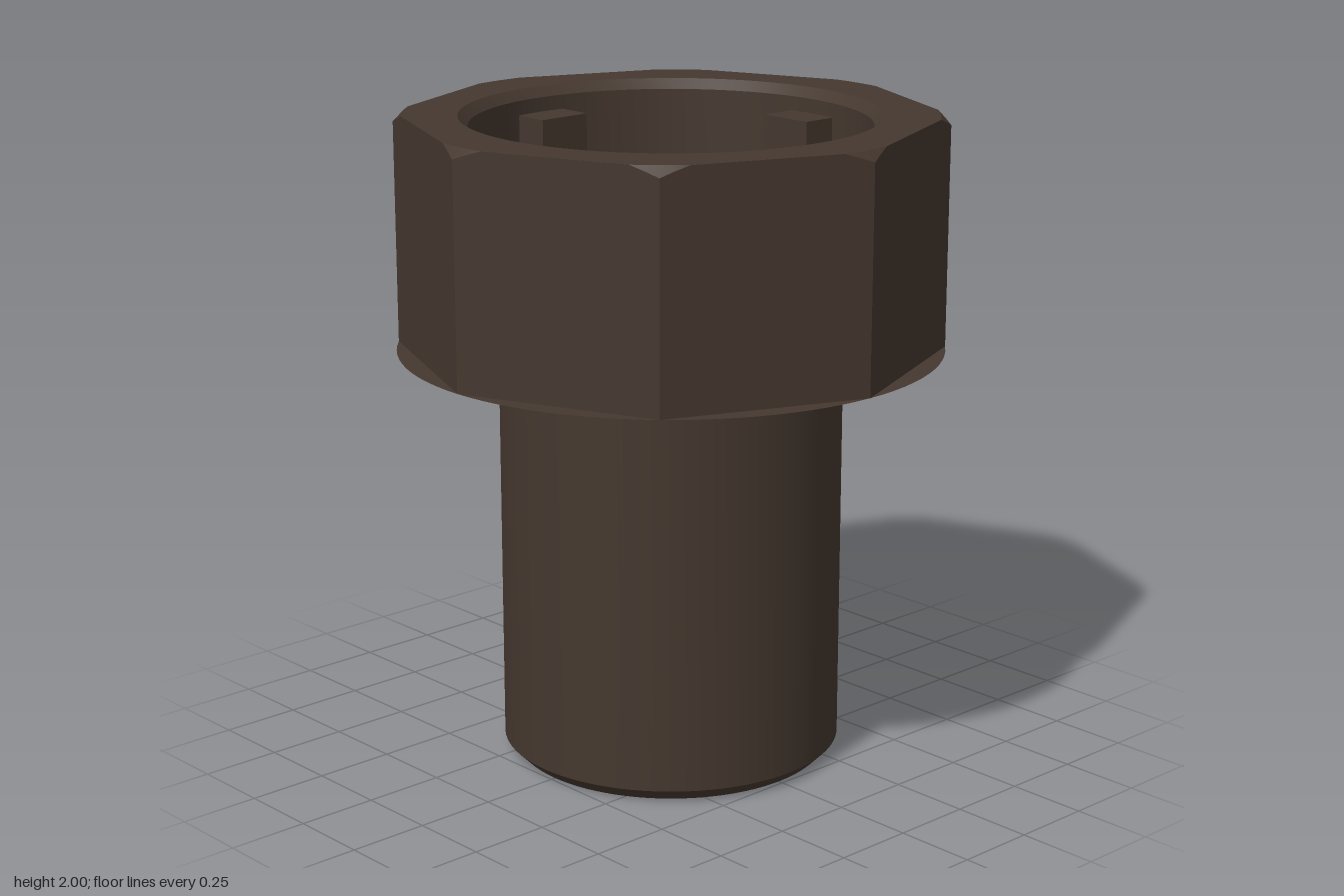
import * as THREE from 'three';
import { toCreasedNormals } from 'three/addons/utils/BufferGeometryUtils.js';

const CREASE = 0.5;
const RAD = Math.PI / 180;

export function createModel() {
  const group = new THREE.Group();
  const darkBrown = new THREE.MeshStandardMaterial({ color: 0x45382f, side: THREE.DoubleSide });
  darkBrown.name = 'dark brown';

  const add = (name, geometry) => {
    const mesh = new THREE.Mesh(geometry, darkBrown);
    mesh.name = name;
    group.add(mesh);
    return mesh;
  };
  const lathe = (points) => toCreasedNormals(
    new THREE.LatheGeometry(points.map(([r, y]) => new THREE.Vector2(r, y)), 96), CREASE);

  // Round shaft with chamfered foot, flared neck and thin round flange
  add('shaft', lathe([[0, 0], [0.485, 0], [0.525, 0.04], [0.525, 1.21], [0.6, 1.29]]));
  add('flange', lathe([[0.6, 1.29], [0.833, 1.29]]));

  // Socket in the head, chamfered at the lip and the floor
  add('socket', lathe([[0.635, 2], [0.605, 1.97], [0.605, 1.5], [0.56, 1.45], [0, 1.45]]));

  // Octagonal head: flat sides, softened corners, corner tips cut by a cone
  const apothem = 0.77, topRadius = 0.803;
  const columns = [];
  for (let k = 0; k < 8; k++) {
    for (const offset of [-6, -2.5, 0, 2.5, 6]) {
      const angle = (k * 45 + offset) * RAD;
      const r = apothem / Math.cos((22.5 - Math.abs(offset)) * RAD);
      const at = (radius, y) => [radius * Math.sin(angle), y, radius * Math.cos(angle)];
      const tr = Math.min(r, topRadius);
      columns.push([at(r, 1.29), at(r, 2 - (r - tr)), at(tr, 2)]);
    }
  }
  const positions = [];
  columns.forEach((a, i) => {
    const b = columns[(i + 1) % columns.length];
    for (let j = 0; j < 2; j++) {
      positions.push(...a[j], ...b[j], ...b[j + 1], ...a[j], ...b[j + 1], ...a[j + 1]);
    }
  });
  const wall = new THREE.BufferGeometry();
  wall.setAttribute('position', new THREE.Float32BufferAttribute(positions, 3));
  add('headSides', toCreasedNormals(wall, CREASE));

  // Flat top rim around the socket
  const rim = new THREE.Shape(columns.map((c) => new THREE.Vector2(c[2][0], -c[2][2])).reverse());
  rim.holes.push(new THREE.Path().absarc(0, 0, 0.635, 0, Math.PI * 2));
  add('headTop', new THREE.ShapeGeometry(rim, 48).rotateX(-Math.PI / 2).translate(0, 2, 0));

  // Four drive keys standing on the socket floor against its wall
  for (let k = 0; k < 4; k++) {
    const key = add('key' + (k + 1),
      new THREE.BoxGeometry(0.18, 0.475, 0.12).translate(0, 1.6875, 0.545));
    key.rotation.y = k * Math.PI / 2;
  }
  return group;
}
